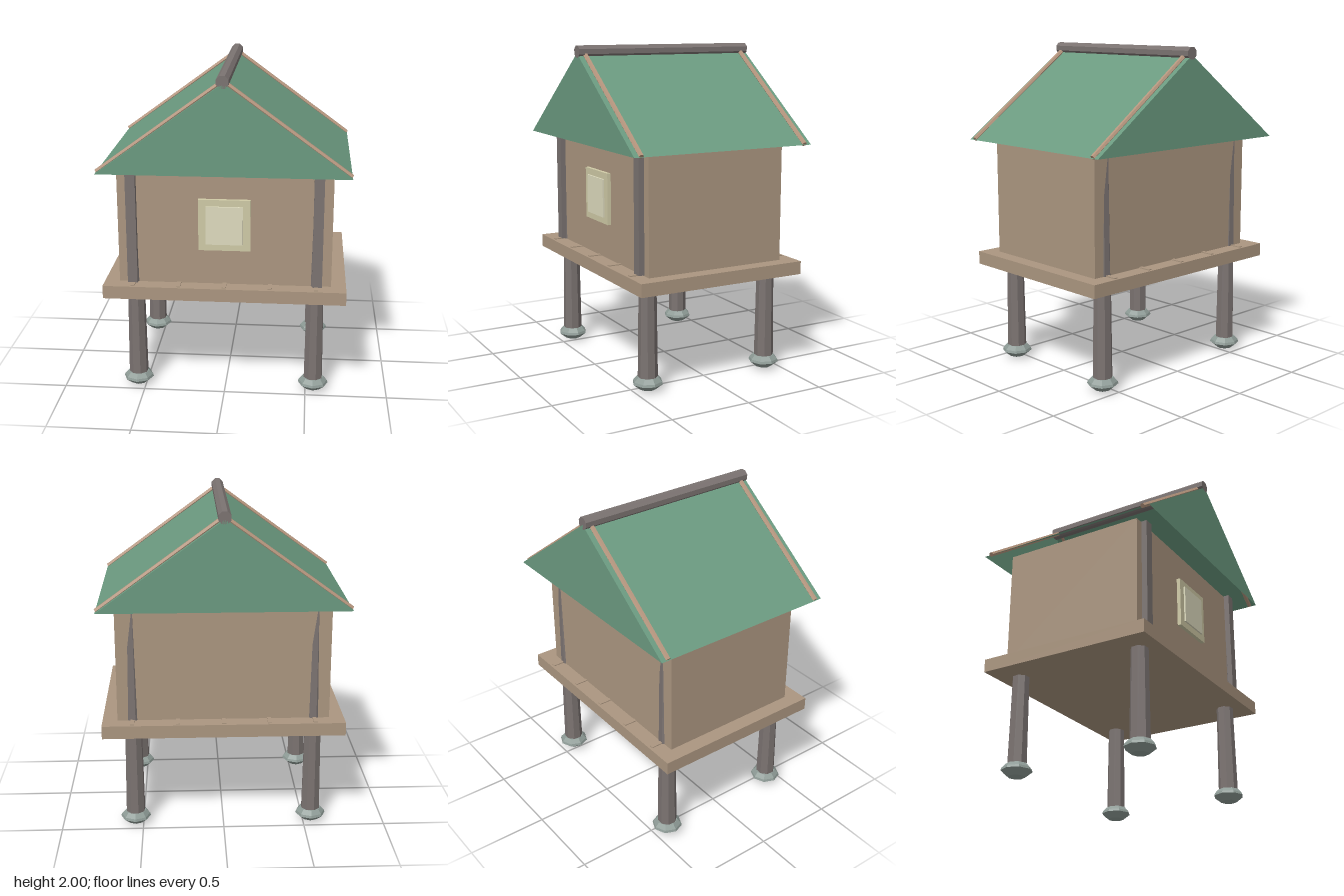
import * as THREE from 'three';

const paint = (color, extra = {}) =>
  new THREE.MeshStandardMaterial({ color, flatShading: true, ...extra });

export function createModel() {
  const hut = new THREE.Group();
  hut.name = 'stiltHut';

  const wood = paint(0xab9680);
  const timber = paint(0x7b7371);
  const trim = paint(0xb5957d);
  const thatch = paint(0x6b9a80, { side: THREE.DoubleSide });
  const stone = paint(0x8f9c97);
  const frameMat = paint(0xcfcaa6);
  const paneMat = paint(0xdedbbe);

  const add = (name, geometry, material, x = 0, y = 0, z = 0) => {
    const mesh = new THREE.Mesh(geometry, material);
    mesh.name = name;
    mesh.position.set(x, y, z);
    hut.add(mesh);
    return mesh;
  };
  // Box given by its lower and upper corners
  const box = (name, material, [x0, y0, z0], [x1, y1, z1]) =>
    add(name, new THREE.BoxGeometry(x1 - x0, y1 - y0, z1 - z0), material,
      (x0 + x1) / 2, (y0 + y1) / 2, (z0 + z1) / 2);

  // Stilts run up through the deck and just break the wall surface
  const footProfile = [[0, 0.005], [0.05, 0.015], [0.093, 0.05], [0.088, 0.065], [0.065, 0.09], [0, 0.092]]
    .map(([r, y]) => new THREE.Vector2(r, y));
  for (const x of [-0.547, 0.547]) {
    for (const z of [-0.41, 0.41]) {
      const stilt = add('stilt', new THREE.CylinderGeometry(0.042, 0.06, 1.37, 8), timber, x, 0.735, z);
      stilt.rotation.y = 0.3;
      add('foot', new THREE.LatheGeometry(footProfile, 8), stone, x, 0, z);
    }
  }

  // Deck with thin battens lying across it
  box('deck', wood, [-0.73, 0.63, -0.545], [0.73, 0.71, 0.545]);
  for (let i = -2; i <= 2; i++) {
    const x = i * 0.275;
    box('deckBatten', wood, [x - 0.012, 0.705, -0.53], [x + 0.012, 0.716, 0.53]);
  }

  // Walls and front corner posts
  box('walls', wood, [-0.64, 0.71, -0.45], [0.64, 1.425, 0.45]);
  for (const x of [-0.555, 0.555]) {
    box('frontPost', timber, [x - 0.03, 0.715, 0.42], [x + 0.03, 1.43, 0.485]);
  }

  // Window
  box('windowFrame', frameMat, [-0.155, 0.93, 0.44], [0.155, 1.245, 0.473]);
  box('windowPane', paneMat, [-0.11, 0.97, 0.44], [0.11, 1.205, 0.483]);

  // Roof: closed gables and two slopes, open underneath
  const eaveX = 0.74, eaveY = 1.42, apexY = 1.955, roofZ = 0.59;
  const roof = new THREE.BufferGeometry();
  const corners = [roofZ, -roofZ].flatMap(z => [-eaveX, eaveY, z, eaveX, eaveY, z, 0, apexY, z]);
  roof.setAttribute('position', new THREE.Float32BufferAttribute(corners, 3));
  roof.setIndex([0, 1, 2, 4, 3, 5, 1, 4, 5, 1, 5, 2, 3, 0, 2, 3, 2, 5]);
  const roofFaces = roof.toNonIndexed();
  roofFaces.computeVertexNormals();
  add('roof', roofFaces, thatch);

  // Poles lying along the slopes near each gable
  const up = new THREE.Vector3(0, 1, 0);
  for (const side of [-1, 1]) {
    for (const z of [-0.545, 0.545]) {
      const low = new THREE.Vector3(side * 0.737, 1.425, z);
      const high = new THREE.Vector3(side * 0.01, 1.955, z);
      const along = high.clone().sub(low);
      const pole = add('roofPole', new THREE.CylinderGeometry(0.015, 0.015, along.length(), 6), trim);
      pole.position.copy(low).add(high).multiplyScalar(0.5);
      pole.quaternion.setFromUnitVectors(up, along.normalize());
    }
  }

  // Ridge beam
  const ridge = new THREE.CylinderGeometry(0.039, 0.039, 1.18, 8);
  ridge.rotateY(Math.PI / 8).rotateX(Math.PI / 2);
  add('ridgeBeam', ridge, timber, 0, 1.964, 0);

  return hut;
}
